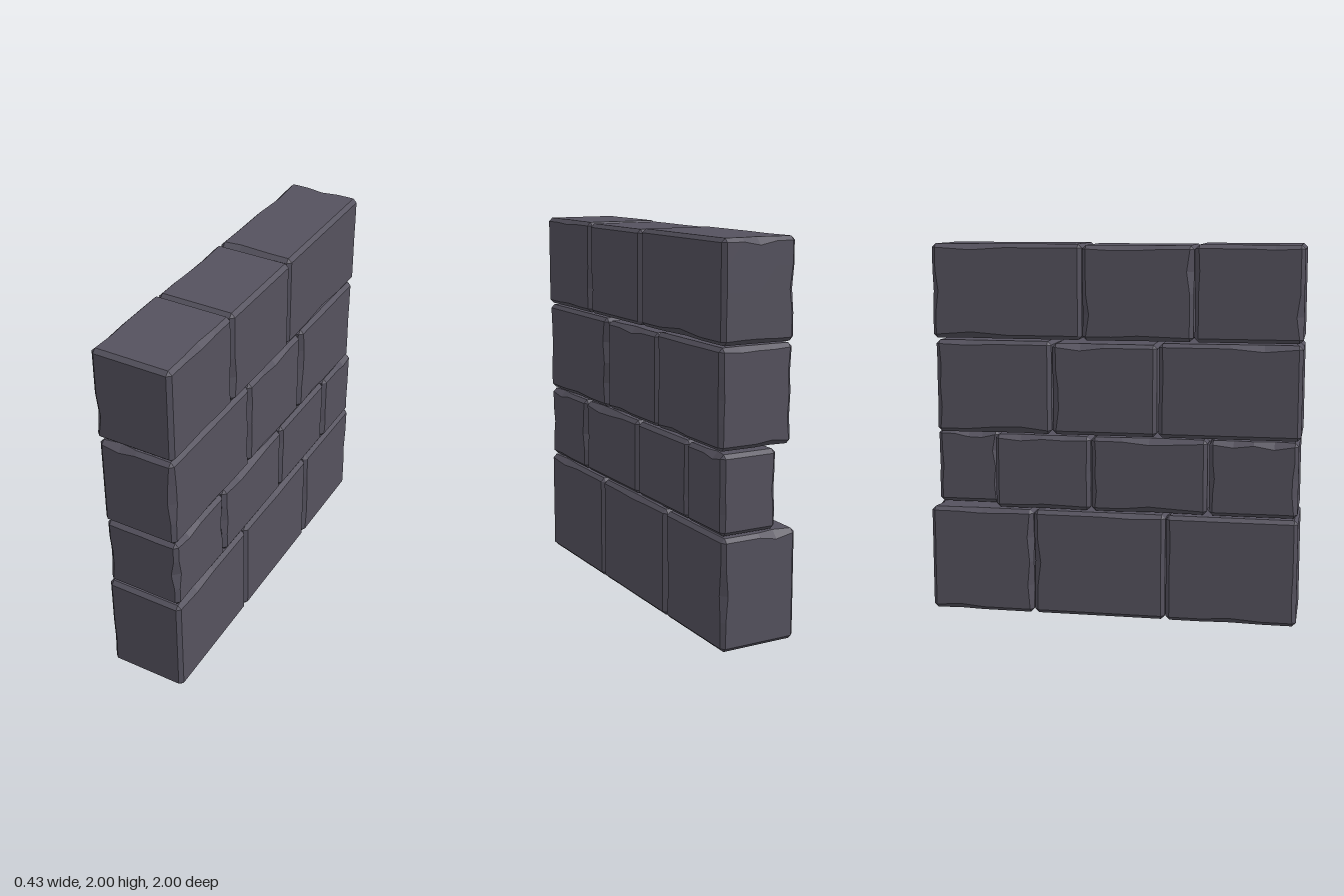
import * as THREE from 'three';

const BEVEL = 0.02;
const SEGMENTS = 6;

// Small seeded generator, values 0..1
function makeRandom(seed) {
  let s = seed;
  return () => {
    s = (s * 16807) % 2147483647;
    return s / 2147483647;
  };
}

// Chamfered block whose bevels widen irregularly along the edges
function chippedBlock(w, h, d, random) {
  const geo = new THREE.BoxGeometry(1, 1, 1, SEGMENTS, SEGMENTS, SEGMENTS);
  const pos = geo.attributes.position;
  const half = [w / 2, h / 2, d / 2];
  const bevels = new Map();
  const bevelAt = (key) => {
    if (!bevels.has(key)) {
      const chip = random() < 0.3 ? random() * 0.018 : 0;
      bevels.set(key, BEVEL + chip);
    }
    return bevels.get(key);
  };

  for (let v = 0; v < pos.count; v++) {
    const grid = [pos.getX(v), pos.getY(v), pos.getZ(v)].map((c) => Math.round((c + 0.5) * SEGMENTS) - SEGMENTS / 2);
    const border = grid.map((g) => Math.abs(g) >= 2);
    const outer = grid.filter((g) => Math.abs(g) === 3).length;
    // Both rims and the middle of one bevel share a key, so the bevel stays flat across
    const key = grid.map((g, a) => (border[a] ? Math.sign(g) * 9 : g)).join();
    const bevel = border.filter(Boolean).length === 2 ? bevelAt(key) : BEVEL;
    const p = grid.map((g, a) => {
      if (!border[a]) return (g / 2) * (half[a] - BEVEL);
      const inset = Math.abs(g) === 3 ? (bevel * (outer - 1)) / outer : bevel;
      return Math.sign(g) * (half[a] - inset);
    });
    pos.setXYZ(v, ...p);
  }
  geo.computeVertexNormals();
  return geo;
}

export function createModel() {
  const wall = new THREE.Group();
  wall.name = 'stoneWall';
  const stone = new THREE.MeshStandardMaterial({ color: 0x55525e, flatShading: true });
  const random = makeRandom(4711);

  // Courses from the ground up; each block is [front z, back z, min x, max x, optional top y]
  const courses = [
    { name: 'bottomCourse', y: [0, 0.575], blocks: [
      [0.99, 0.295, -0.215, 0.21], [0.29, -0.425, -0.21, 0.21], [-0.43, -1, -0.21, 0.21]] },
    { name: 'lowerCourse', y: [0.583, 0.985], blocks: [
      [0.985, 0.52, -0.205, 0.205], [0.51, -0.11, -0.2, 0.205],
      [-0.115, -0.637, -0.2, 0.205], [-0.643, -0.985, -0.1, 0.21]] },
    { name: 'upperCourse', y: [0.993, 1.49], blocks: [
      [0.995, 0.25, -0.205, 0.205], [0.24, -0.32, -0.2, 0.2, 1.48], [-0.325, -0.955, -0.205, 0.205]] },
    { name: 'topCourse', y: [1.5, 2], blocks: [
      [0.995, 0.437, -0.215, 0.21], [0.43, -0.155, -0.21, 0.21, 1.995], [-0.16, -0.97, -0.2, 0.205]] },
  ];

  for (const { name, y, blocks } of courses) {
    const course = new THREE.Group();
    course.name = name;
    blocks.forEach(([z1, z0, x0, x1, top = y[1]], i) => {
      const block = new THREE.Mesh(chippedBlock(x1 - x0, top - y[0], z1 - z0, random), stone);
      block.name = `stoneBlock${i + 1}`;
      block.position.set((x0 + x1) / 2, (y[0] + top) / 2, (z0 + z1) / 2);
      course.add(block);
    });
    wall.add(course);
  }
  return wall;
}
